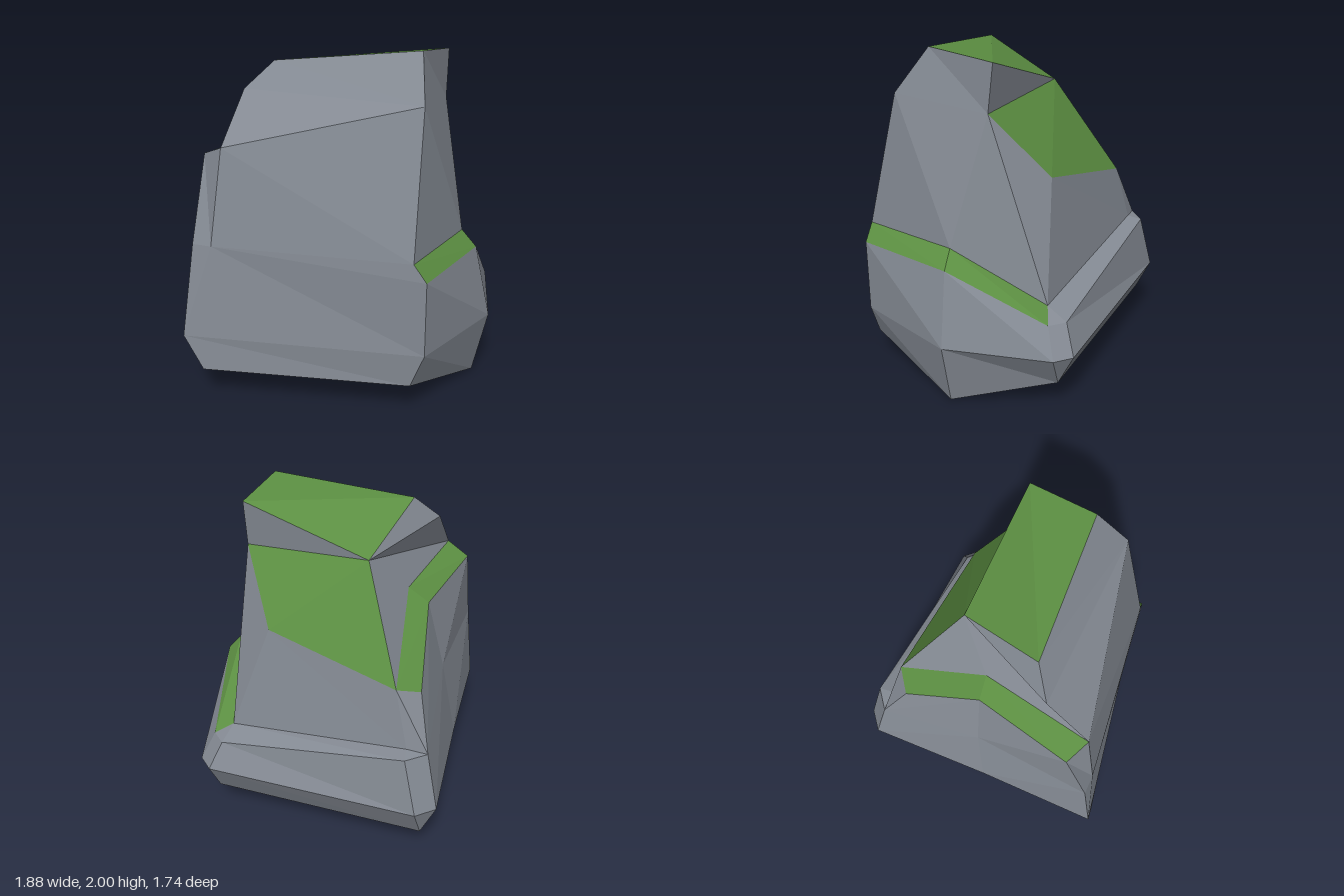
import * as THREE from 'three';

// Corner points of the boulder, level by level
const P = {
  // crown
  crownFL: [-0.41, 1.91, 0.21], crownFR: [0.41, 2.0, 0.45], crownBR: [0.59, 1.96, 0.08], crownBL: [-0.11, 1.71, -0.21],
  browL: [-0.58, 1.76, 0.27], browR: [0.41, 1.74, 0.65], notch: [0.58, 1.68, 0.11],
  // back slope and left shelf
  slopeR: [0.47, 1.29, -0.23], slopeL: [-0.24, 1.1, -0.61],
  shelfF: [-0.80, 1.42, 0.41], shelfFin: [-0.69, 1.48, 0.52], shelfM: [-0.48, 1.37, -0.10],
  shelfMin: [-0.36, 1.46, -0.07], shelfB: [-0.39, 1.05, -0.565],
  // waist
  waistL: [-0.87, 0.93, 0.56], waistFL: [-0.76, 0.93, 0.60], waistFR: [0.36, 0.93, 0.845], waistR: [0.68, 0.93, 0.32],
  waistBR: [0.72, 0.62, -0.23], waistB: [-0.30, 0.75, -0.70], waistLM: [-0.59, 0.93, -0.11],
  // outer rim under the waist
  rimF: [0.43, 0.83, 0.87], rimR: [0.765, 0.83, 0.34], rimBR: [0.84, 0.56, -0.24], rimBR2: [0.79, 0.56, -0.34],
  rimB: [-0.28, 0.735, -0.785], rimBL: [-0.42, 0.735, -0.735],
  // widest girth
  girthFL: [-0.94, 0.39, 0.635], girthF: [0.43, 0.39, 0.87], girthR: [0.86, 0.39, 0.355], girthBR: [0.935, 0.39, -0.275],
  girthBR2: [0.88, 0.39, -0.385], girthB: [-0.34, 0.39, -0.87], girthBL: [-0.475, 0.39, -0.82], girthL: [-0.70, 0.39, -0.08],
  // foot and keel
  footFL: [-0.83, 0.19, 0.67], footFR: [0.355, 0.19, 0.845], footBR: [0.83, 0.19, -0.30], footBL: [-0.39, 0.19, -0.79],
  keelR: [0.78, 0, 0.325], keelL: [-0.58, 0, -0.105],
};

// Faces of each part, counter-clockwise from outside
const parts = {
  upperStone: ['stone', [
    'crownFL browL browR crownFR', 'browL shelfFin browR', 'shelfFin waistFL waistFR browR',
    'crownFR browR notch crownBR', 'browR waistFR waistR notch', 'notch waistR waistBR slopeR',
    'crownBR notch crownBL', 'waistB slopeL slopeR waistBR',
    'browL crownFL crownBL', 'shelfFin browL crownBL shelfMin', 'shelfMin crownBL slopeL',
  ]],
  leftShoulder: ['stone', [
    'shelfF shelfM waistLM waistL', 'shelfM shelfB rimBL waistLM', 'shelfF waistL waistFL shelfFin',
    'slopeL waistB rimBL shelfB', 'waistL girthFL waistFL',
  ]],
  lowerStone: ['stone', [
    'waistFL girthFL girthF rimF waistFR', 'rimF girthF girthR rimR', 'rimR girthR girthBR rimBR',
    'rimBR girthBR girthBR2 rimBR2', 'rimBR2 girthBR2 girthB rimB', 'rimB girthB girthBL rimBL',
    'waistLM rimBL girthBL girthL', 'waistL waistLM girthL girthFL',
  ]],
  backLedge: ['stone', ['waistBR rimBR rimBR2', 'waistBR rimBR2 rimB waistB', 'waistB rimB rimBL']],
  footStone: ['stone', [
    'girthFL footFL footFR girthF', 'girthF footFR keelR girthR', 'girthR keelR footBR girthBR',
    'girthBR footBR girthBR2', 'girthBR2 footBR footBL girthB', 'girthB footBL girthBL',
    'keelL footFL girthFL girthL girthBL footBL', 'footFL keelL keelR footFR', 'footBR keelR keelL footBL',
  ]],
  crownGrass: ['grass', ['crownFL crownFR crownBR crownBL']],
  slopeGrass: ['grass', ['crownBL notch slopeR slopeL']],
  shelfGrass: ['grass', ['shelfF shelfFin shelfMin shelfM', 'shelfM shelfMin slopeL shelfB']],
  waistGrass: ['grass', ['waistFR rimF rimR waistR', 'waistR rimR rimBR waistBR']],
};

// Turns each face into a fan of flat triangles
function facets(faces) {
  const pos = [];
  for (const face of faces) {
    const c = face.split(' ').map((name) => P[name]);
    for (let i = 1; i < c.length - 1; i++) pos.push(...c[0], ...c[i], ...c[i + 1]);
  }
  const geo = new THREE.BufferGeometry();
  geo.setAttribute('position', new THREE.Float32BufferAttribute(pos, 3));
  geo.computeVertexNormals();
  return geo;
}

export function createModel() {
  const materials = {
    stone: new THREE.MeshStandardMaterial({ color: 0x848a93, flatShading: true }),
    grass: new THREE.MeshStandardMaterial({ color: 0x5c8f42, flatShading: true }),
  };
  for (const name in materials) materials[name].name = name;

  const boulder = new THREE.Group();
  boulder.name = 'mossyBoulder';
  for (const [name, [material, faces]] of Object.entries(parts)) {
    const mesh = new THREE.Mesh(facets(faces), materials[material]);
    mesh.name = name;
    boulder.add(mesh);
  }
  return boulder;
}
